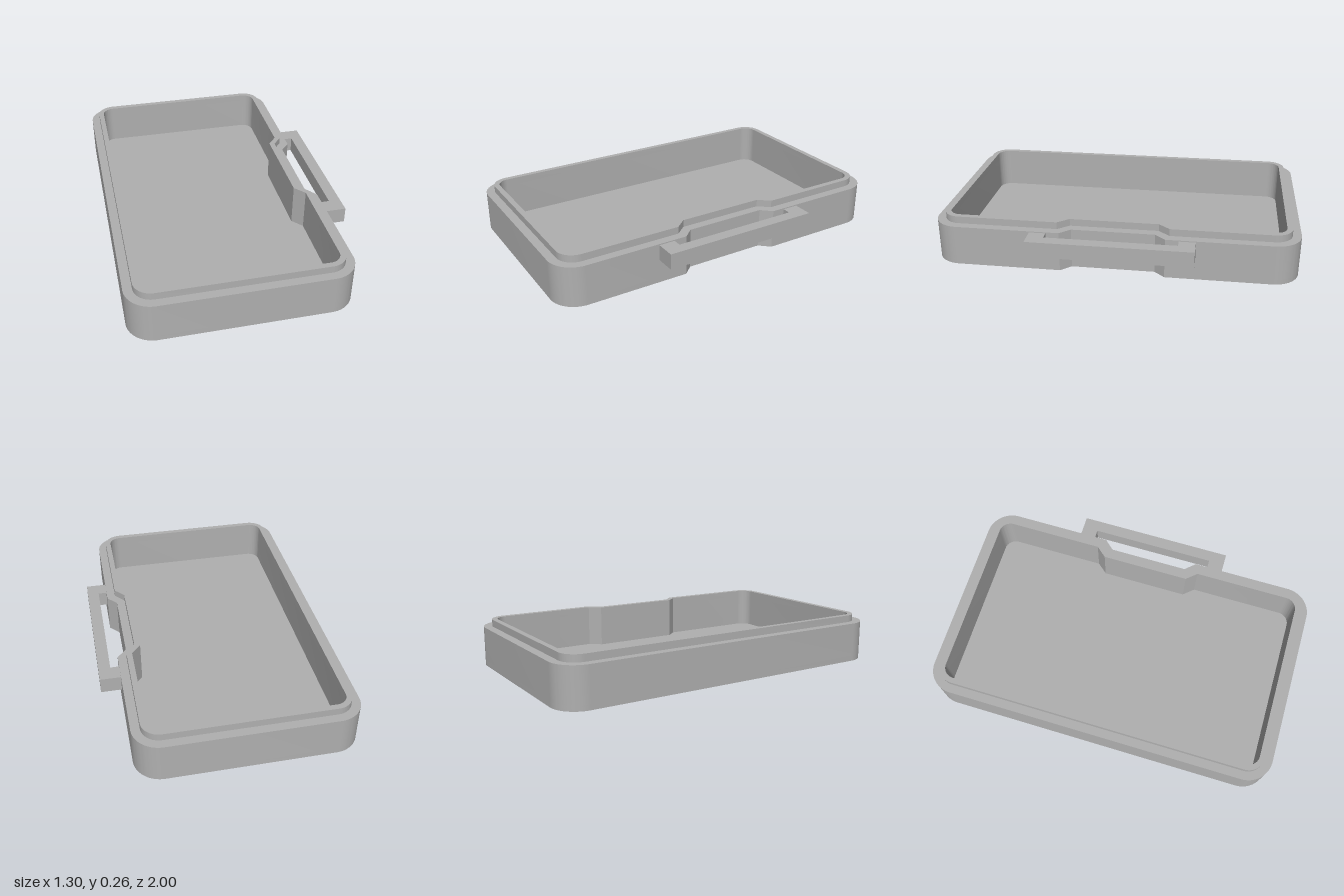
import * as THREE from 'three';
import { toCreasedNormals } from 'three/addons/utils/BufferGeometryUtils.js';

// Rounded rectangle with a chamfered notch in its +x side (drawn as x, -z).
function trace(path, { x0, x1, z, r, notchX, notchOuter, notchInner }) {
  path.moveTo(x0 + r, -z);
  path.lineTo(x1 - r, -z);
  path.absarc(x1 - r, -z + r, r, -Math.PI / 2, 0, false);
  path.lineTo(x1, -notchOuter);
  path.lineTo(notchX, -notchInner);
  path.lineTo(notchX, notchInner);
  path.lineTo(x1, notchOuter);
  path.absarc(x1 - r, z - r, r, 0, Math.PI / 2, false);
  path.absarc(x0 + r, z - r, r, Math.PI / 2, Math.PI, false);
  path.absarc(x0 + r, -z + r, r, Math.PI, Math.PI * 1.5, false);
  path.closePath();
  return path;
}

export function createModel() {
  const group = new THREE.Group();
  group.name = 'tray';
  const grey = new THREE.MeshStandardMaterial({ color: 0xb0b0b0 });
  grey.name = 'grey';

  const body = { x0: -0.65, x1: 0.535, z: 1, r: 0.145, notchX: 0.483, notchOuter: 0.285, notchInner: 0.228 };
  const rim = { x0: -0.602, x1: 0.487, z: 0.952, r: 0.097, notchX: 0.435, notchOuter: 0.305, notchInner: 0.243 };
  const cavity = { x0: -0.572, x1: 0.456, z: 0.921, r: 0.066, notchX: 0.404, notchOuter: 0.313, notchInner: 0.253 };

  // Extrude an outline upward between two heights.
  function addSlab(name, shape, y0, y1) {
    const geo = new THREE.ExtrudeGeometry(shape, { depth: y1 - y0, bevelEnabled: false, curveSegments: 12 });
    geo.rotateX(-Math.PI / 2);
    geo.translate(0, y0, 0);
    const mesh = new THREE.Mesh(toCreasedNormals(geo, 0.5), grey);
    mesh.name = name;
    group.add(mesh);
  }
  function ring(outline) {
    const shape = trace(new THREE.Shape(), outline);
    shape.holes.push(trace(new THREE.Path(), cavity));
    return shape;
  }

  addSlab('floor', trace(new THREE.Shape(), body), 0, 0.03);
  addSlab('walls', ring(body), 0.03, 0.225);
  addSlab('rimLip', ring(rim), 0.225, 0.265);

  // U-shaped loop handle on the notched side
  const handle = new THREE.Shape([
    [0.535, -0.447], [0.648, -0.447], [0.648, 0.447], [0.535, 0.447],
    [0.535, 0.357], [0.583, 0.357], [0.583, -0.357], [0.535, -0.357],
  ].map(([x, y]) => new THREE.Vector2(x, y)));
  addSlab('handle', handle, 0.131, 0.219);

  return group;
}
